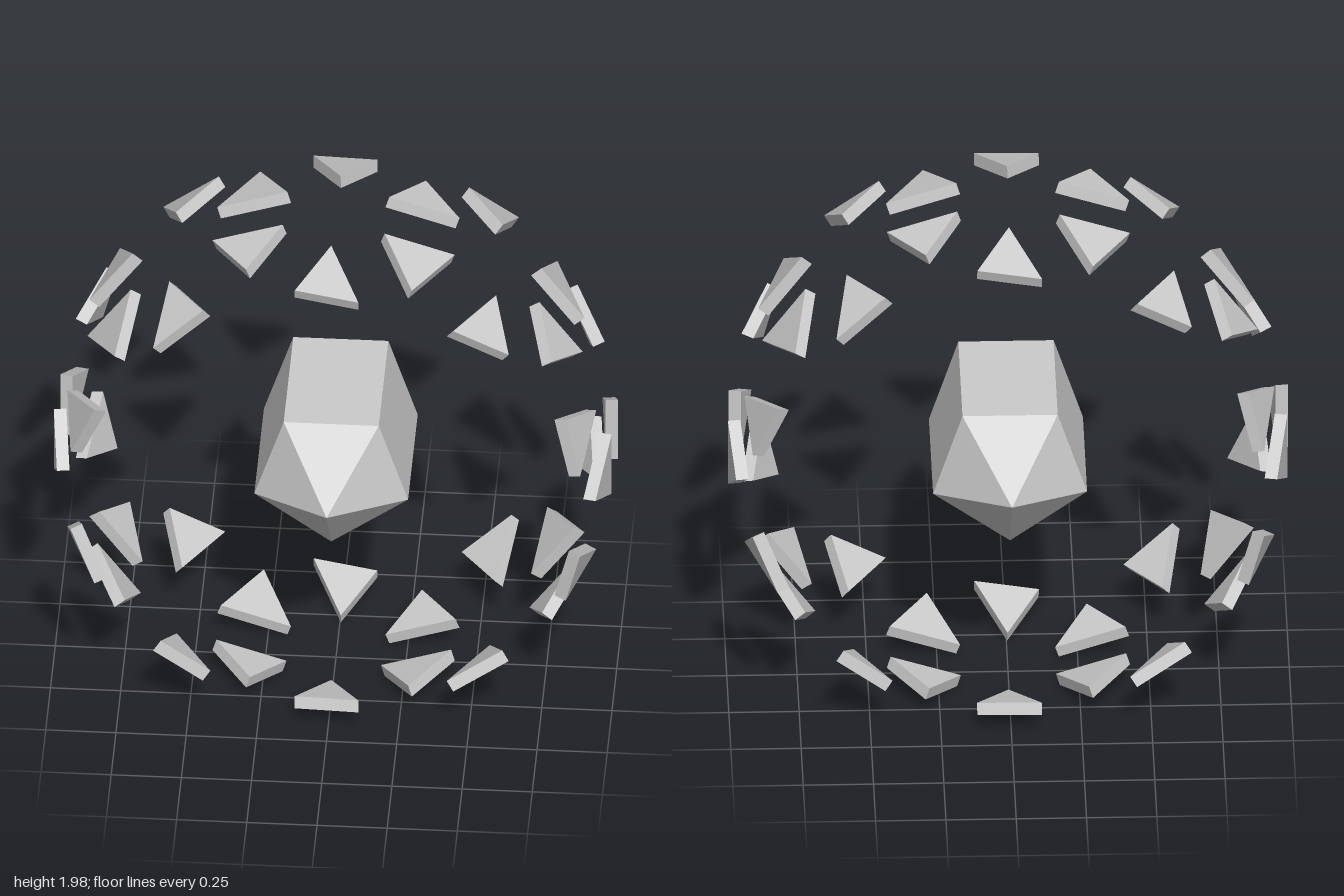
import * as THREE from 'three';
import { ConvexGeometry } from 'three/addons/geometries/ConvexGeometry.js';

const SPHERE = 1.063;     // radius of the geodesic sphere the shards are cut from
const SHRINK = 0.4;       // size of each shard relative to its facet
const THICK = 0.045;      // shard thickness
const CENTRE_Y = 0.991;

// Point on the sphere at an angle around z, at unit height h
function spherePoint(degrees, h) {
  const a = THREE.MathUtils.degToRad(degrees);
  const r = Math.sqrt(1 - h * h);
  return new THREE.Vector3(r * Math.cos(a), r * Math.sin(a), h).multiplyScalar(SPHERE);
}

// Triangular plate: a facet shrunk about its centroid, thickened inwards
function shardGeometry(corners) {
  const centre = new THREE.Vector3();
  corners.forEach((c) => centre.addScaledVector(c, 1 / 3));
  const normal = new THREE.Triangle(...corners).getNormal(new THREE.Vector3());
  if (normal.dot(centre) < 0) normal.negate();
  const outer = corners.map((c) => centre.clone().lerp(c, SHRINK));
  const inner = outer.map((c) => c.clone().addScaledVector(normal, -THICK));
  return new ConvexGeometry([...outer, ...inner]);
}

export function createModel() {
  const model = new THREE.Group();
  model.name = 'crystalWithShardRing';
  const material = new THREE.MeshStandardMaterial({ color: 0xcccccc, flatShading: true });

  // Central five-sided crystal, pointed at front and back
  const profile = [[0, -0.5], [0.288, -0.253], [0.288, 0.253], [0, 0.5]];
  const coreGeometry = new THREE.LatheGeometry(profile.map(([r, y]) => new THREE.Vector2(r, y)), 5);
  coreGeometry.rotateX(Math.PI / 2);
  const core = new THREE.Mesh(coreGeometry, material);
  core.name = 'crystalCore';
  core.position.y = CENTRE_Y;
  model.add(core);

  // Two rows of twenty shards: the middle band of a twice-divided icosahedron
  const VERTEX_H = 1 / Math.sqrt(5);
  const MIDPOINT_H = 0.5257;
  const equator = (k) => spherePoint(18 + 36 * k, 0);

  for (const side of [1, -1]) {
    const row = new THREE.Group();
    row.name = side > 0 ? 'frontShardRow' : 'backShardRow';
    row.position.y = CENTRE_Y;
    const rim = (k) => {
      const isMidpoint = (k % 2 === 0) === (side > 0);
      return spherePoint(36 * k, side * (isMidpoint ? MIDPOINT_H : VERTEX_H));
    };
    for (let k = 0; k < 10; k++) {
      const facets = [
        [equator(k - 1), equator(k), rim(k)],   // points away from the equator
        [rim(k), rim(k + 1), equator(k)],       // points towards the equator
      ];
      for (const facet of facets) {
        const shard = new THREE.Mesh(shardGeometry(facet), material);
        shard.name = 'shard';
        row.add(shard);
      }
    }
    model.add(row);
  }
  return model;
}
